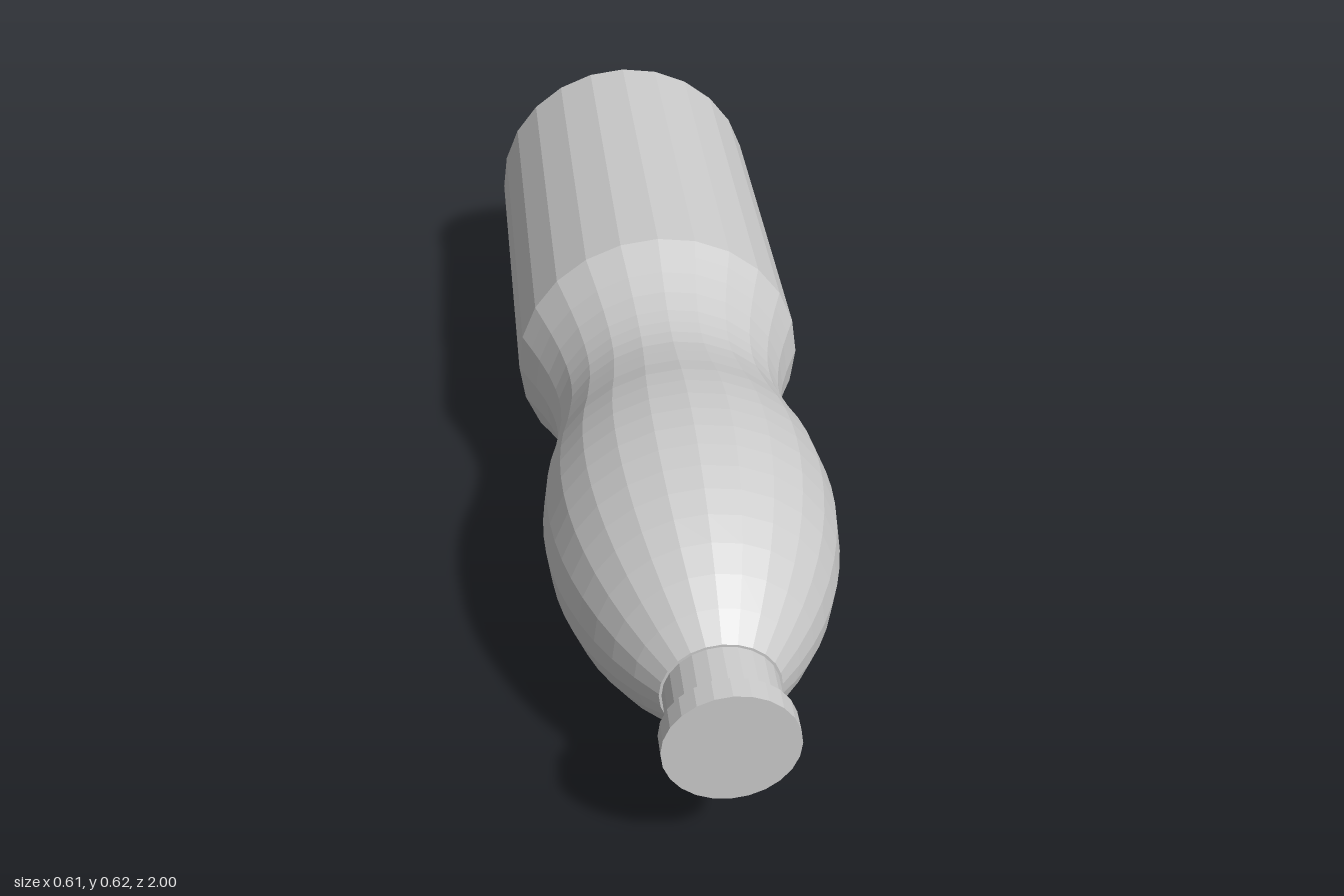
import * as THREE from 'three';

const SIDES = 24;

// Lathe around the z axis from [z, radius] points listed back to front
function turned(name, profile, material) {
  const points = profile.map(([z, r]) => new THREE.Vector2(r, z));
  const geometry = new THREE.LatheGeometry(points, SIDES);
  geometry.rotateX(Math.PI / 2);
  const mesh = new THREE.Mesh(geometry, material);
  mesh.name = name;
  return mesh;
}

export function createModel() {
  const material = new THREE.MeshStandardMaterial({ color: 0xcccccc, flatShading: true });

  // Concave flare from the shoulder down to the waist
  const waist = [[-0.18, 0.305], [-0.14, 0.288], [-0.1, 0.272], [-0.05, 0.255],
    [0, 0.243], [0.035, 0.238], [0.07, 0.236], [0.11, 0.238], [0.15, 0.245]];

  // Bulging upper body: a circular arc narrowing towards the neck
  const arcRadius = 0.68;
  const belly = [];
  for (let i = 0; i <= 13; i++) {
    const z = 0.2 + (0.66 * i) / 13;
    const d = z - 0.4;
    belly.push([z, 0.285 - arcRadius + Math.sqrt(arcRadius * arcRadius - d * d)]);
  }

  // Bottle lying on its side, with a closed flat base
  const body = turned('bottleBody', [[-0.998, 0], [-0.998, 0.306], ...waist, ...belly], material);
  const neck = turned('neck', [[0.86, 0.11], [0.86, 0.105], [0.955, 0.105]], material);
  const cap = turned('cap', [[0.955, 0], [0.955, 0.122], [0.999, 0.122], [0.999, 0]], material);

  // Slight tilt, since it rests on the wider base end
  const bottle = new THREE.Group();
  bottle.name = 'bottle';
  bottle.add(body, neck, cap);
  bottle.rotation.x = -0.0082;
  bottle.position.y = 0.3145;

  const model = new THREE.Group();
  model.name = 'lyingBottle';
  model.add(bottle);
  return model;
}
